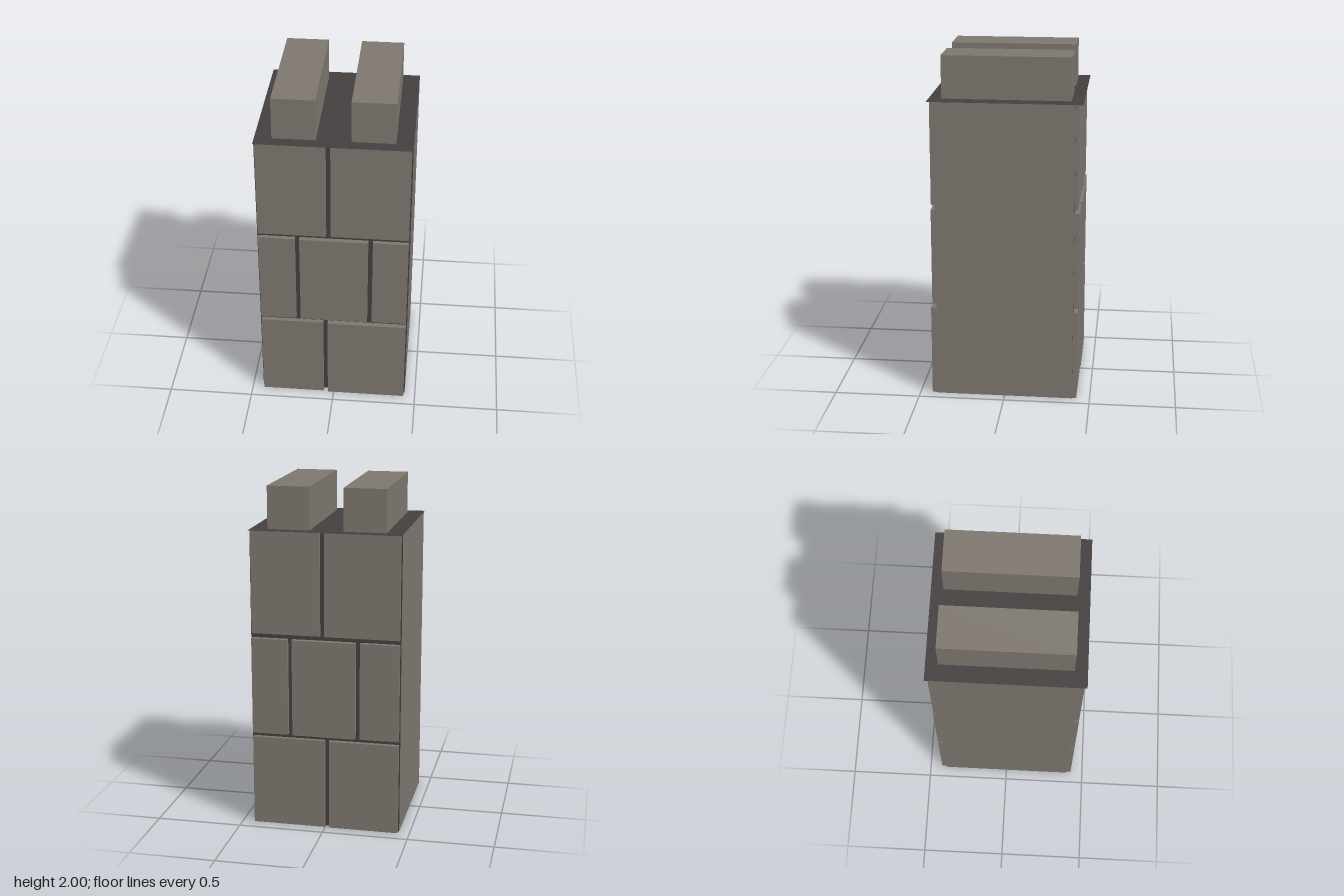
import * as THREE from 'three';

const TOP = 1.755, HALF = 0.437, WALL_Z = 0.397, EDGE = 0.43, GAP = 0.027;

// Each course: bottom, top, x of the vertical joints, how far the stones reach out
const FRONT = [
  { y0: 0, y1: 0.535, joints: [-0.048], reach: [0.424, 0.43] },
  { y0: 0.56, y1: 1.13, joints: [-0.207, 0.213], reach: [0.423, 0.426, 0.422] },
  { y0: 1.157, y1: TOP - 0.001, joints: [-0.027], reach: [0.422, 0.42] },
];
const BACK = [
  { y0: 0, y1: 0.535, joints: [0.01], reach: [0.422, 0.425] },
  { y0: 0.56, y1: 1.13, joints: [-0.205, 0.19], reach: [0.426, 0.43, 0.424] },
  { y0: 1.157, y1: TOP - 0.001, joints: [-0.017], reach: [0.416, 0.419] },
];

export function createModel() {
  const stone = new THREE.MeshStandardMaterial({ color: 0x7d776f, side: THREE.DoubleSide });
  stone.name = 'stone';
  const mortar = new THREE.MeshStandardMaterial({ color: 0x453f3f, side: THREE.DoubleSide });
  mortar.name = 'mortar';

  const model = new THREE.Group();
  model.name = 'wallPillar';

  const add = (parent, name, geometry, material, x, y, z) => {
    const mesh = new THREE.Mesh(geometry, material);
    mesh.name = name;
    mesh.position.set(x, y, z);
    parent.add(mesh);
    return mesh;
  };

  // Block spanning two corners
  const block = (parent, name, [x0, x1], [y0, y1], [z0, z1]) =>
    add(parent, name, new THREE.BoxGeometry(x1 - x0, y1 - y0, z1 - z0), stone,
      (x0 + x1) / 2, (y0 + y1) / 2, (z0 + z1) / 2);

  // Smooth side walls of the hollow, open-bottomed shell
  for (const side of [-1, 1]) {
    const wall = add(model, side > 0 ? 'leftWall' : 'rightWall',
      new THREE.PlaneGeometry(2 * WALL_Z, TOP), stone, side * HALF, TOP / 2, 0);
    wall.rotation.y = side * Math.PI / 2;
  }

  // Front and back: a mortar sheet with raised stones in three courses
  const facing = (name, courses) => {
    const group = new THREE.Group();
    group.name = name;
    add(group, 'mortarSheet', new THREE.PlaneGeometry(2 * HALF, TOP), mortar, 0, TOP / 2, WALL_Z);
    for (const { y0, y1, joints, reach } of courses) {
      reach.forEach((z, i) => {
        const x0 = i === 0 ? -EDGE : joints[i - 1] + GAP / 2;
        const x1 = i === joints.length ? EDGE : joints[i] - GAP / 2;
        block(group, 'facingStone', [x0, x1], [y0, y1], [WALL_Z, z]);
      });
    }
    model.add(group);
    return group;
  };
  facing('frontFacing', FRONT);
  facing('backFacing', BACK).rotation.y = Math.PI;

  // Thin overhanging top sheet
  const cap = add(model, 'topSheet', new THREE.PlaneGeometry(2 * HALF, 2 * HALF), mortar, 0, TOP, 0);
  cap.rotation.x = -Math.PI / 2;

  // Two merlons running front to back
  block(model, 'rightMerlon', [-0.341, -0.098], [TOP, 2], [-0.367, 0.365]);
  block(model, 'leftMerlon', [0.096, 0.34], [TOP, 2], [-0.367, 0.365]);

  return model;
}
